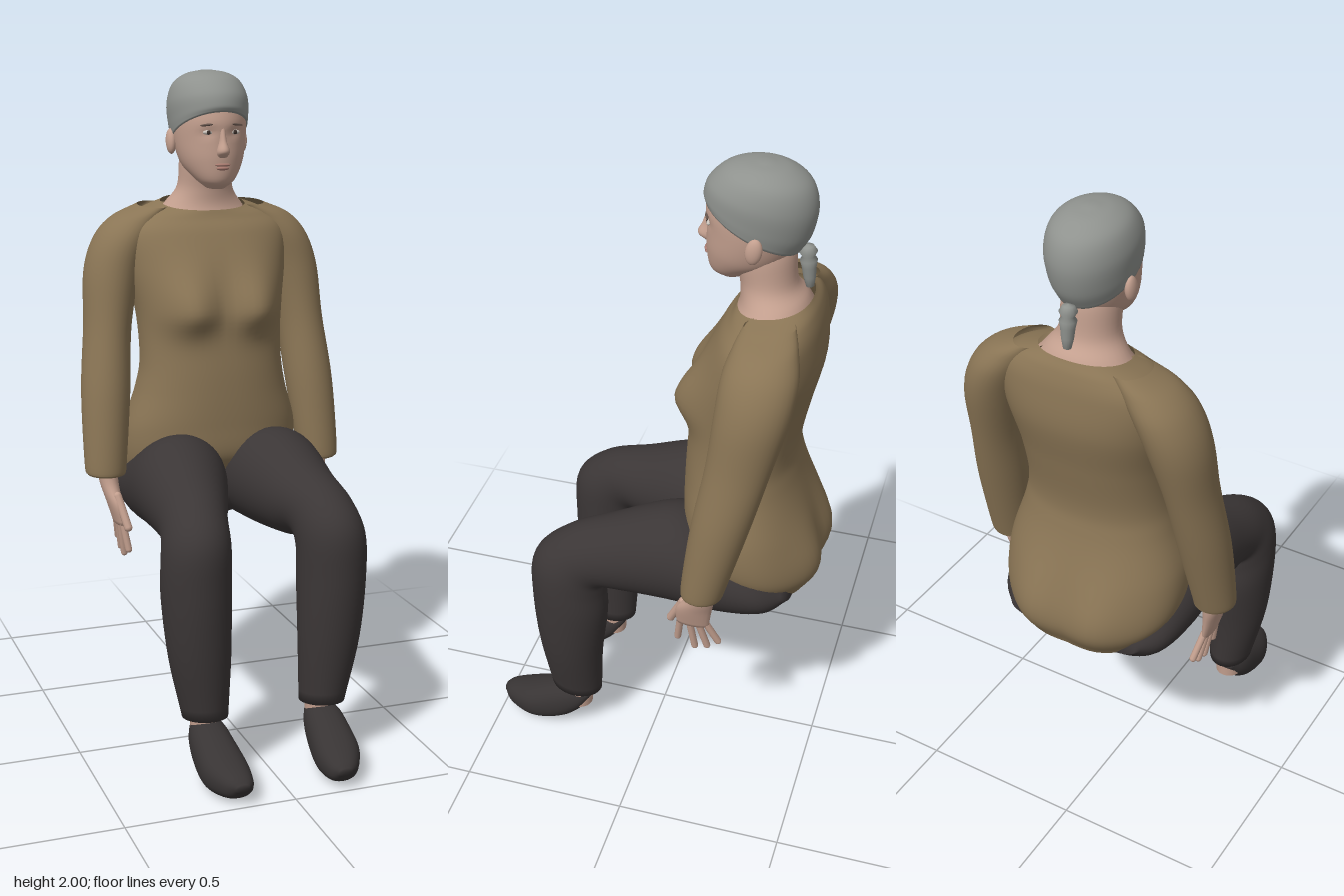
import * as THREE from 'three';

const mat = (name, color, side = THREE.FrontSide) => {
  const m = new THREE.MeshStandardMaterial({ color, side });
  m.name = name;
  return m;
};

// Smooth skin over cross-sections [frontZ, frontY, backZ, backY, centreX, halfWidth].
// Sections run upward (or from toe to heel); bend(p, angle) may push a vertex.
function loft(sections, { side = 1, power = 2, n = 32, steps = 6, caps = true, bend } = {}) {
  const curve = f => new THREE.CatmullRomCurve3(sections.map(f), false, 'catmullrom', 0.5);
  const front = curve(s => new THREE.Vector3(0, s[1], s[0]));
  const back = curve(s => new THREE.Vector3(0, s[3], s[2]));
  const width = curve(s => new THREE.Vector3(s[4] * side, s[5], 0));
  const rings = (sections.length - 1) * steps;
  const pos = [], idx = [], p = new THREE.Vector3();
  const round = v => Math.sign(v) * Math.abs(v) ** (2 / power);
  for (let i = 0; i <= rings; i++) {
    const t = i / rings, f = front.getPoint(t), b = back.getPoint(t), w = width.getPoint(t);
    for (let j = 0; j < n; j++) {
      const a = (j / n) * Math.PI * 2;
      p.lerpVectors(b, f, 0.5 + 0.5 * round(Math.sin(a)));
      p.x = w.x + w.y * round(Math.cos(a));
      if (bend) bend(p, a);
      pos.push(p.x, p.y, p.z);
      if (i < rings) {
        const q = i * n + j, r = i * n + ((j + 1) % n);
        idx.push(q, q + n, r, r, q + n, r + n);
      }
    }
  }
  if (caps) {
    for (const [row, t] of [[0, 0], [rings, 1]]) {
      const c = pos.length / 3;
      p.lerpVectors(back.getPoint(t), front.getPoint(t), 0.5);
      pos.push(width.getPoint(t).x, p.y, p.z);
      for (let j = 0; j < n; j++) {
        const q = row * n + j, r = row * n + ((j + 1) % n);
        idx.push(c, row ? r : q, row ? q : r);
      }
    }
  }
  const g = new THREE.BufferGeometry();
  g.setAttribute('position', new THREE.Float32BufferAttribute(pos, 3));
  g.setIndex(idx);
  g.computeVertexNormals();
  return g;
}

// Soft bump, 1 at the centre
const bump = (dx, dy, rx, ry) => Math.exp(-((dx / rx) ** 2) - (dy / ry) ** 2);

export function createModel() {
  const model = new THREE.Group();
  model.name = 'seatedFigure';
  const skin = mat('skin', 0xc4a08f);
  const shirt = mat('shirt brown', 0x8a7555, THREE.DoubleSide);
  const trousers = mat('trouser charcoal', 0x3b3636, THREE.DoubleSide);
  const shoe = mat('shoe charcoal', 0x383434);
  const hair = mat('hair grey', 0x8f928e, THREE.DoubleSide);
  const lip = mat('lip', 0xa97b70);
  const brow = mat('brow', 0x65544c);
  const eyeWhite = mat('eye white', 0xc9c2ba);
  const iris = mat('iris', 0x3a302b);

  const add = (name, geometry, material) => {
    const m = new THREE.Mesh(geometry, material);
    m.name = name;
    model.add(m);
    return m;
  };
  const ball = (name, material, at, size) => {
    const m = add(name, new THREE.SphereGeometry(1, 20, 14), material);
    m.position.set(...at);
    m.scale.set(...size);
    return m;
  };
  // Rounded rod between two points
  const rod = (name, material, a, b, r) => {
    const from = new THREE.Vector3(...a), to = new THREE.Vector3(...b), d = to.clone().sub(from);
    const m = add(name, new THREE.CapsuleGeometry(r, d.length(), 5, 10), material);
    m.position.copy(from).lerp(to, 0.5);
    m.quaternion.setFromUnitVectors(new THREE.Vector3(0, 1, 0), d.normalize());
  };

  // Sweater body, with bust and seat shaped by soft bumps
  add('sweaterBody', loft([
    [-0.12, 0.80, -0.455, 0.68, 0, 0.235],
    [-0.085, 0.86, -0.48, 0.76, 0, 0.272],
    [-0.08, 0.95, -0.455, 0.89, 0, 0.272],
    [-0.08, 1.05, -0.41, 1.05, 0, 0.235],
    [-0.085, 1.15, -0.40, 1.14, 0, 0.22],
    [-0.10, 1.28, -0.425, 1.28, 0, 0.225],
    [-0.13, 1.42, -0.455, 1.42, 0, 0.25],
    [-0.17, 1.52, -0.45, 1.53, 0, 0.255],
    [-0.20, 1.565, -0.435, 1.59, 0, 0.205],
    [-0.212, 1.588, -0.415, 1.622, 0, 0.13],
  ], {
    power: 2.25, n: 64, steps: 8, caps: false,
    bend: (p, a) => {
      const dx = Math.abs(p.x) - 0.11, s = Math.sin(a);
      if (s > 0) p.z += 0.062 * Math.sqrt(s) * bump(dx, p.y - 1.3, 0.085, p.y < 1.3 ? 0.065 : 0.11);
      else p.z -= 0.03 * Math.sqrt(-s) * bump(dx, p.y - 0.8, 0.09, 0.12);
    },
  }), shirt);

  // Hips between the thighs
  ball('trouserSeat', trousers, [0, 0.735, -0.26], [0.13, 0.1, 0.16]);

  for (const side of [-1, 1]) {
    const tag = side > 0 ? 'left' : 'right';

    // Sleeve from cuff to shoulder
    add(tag + 'Sleeve', loft([
      [-0.155, 0.80, -0.27, 0.805, 0.345, 0.058],
      [-0.15, 0.83, -0.28, 0.84, 0.346, 0.064],
      [-0.172, 1.04, -0.34, 1.06, 0.331, 0.074],
      [-0.205, 1.24, -0.385, 1.24, 0.312, 0.072],
      [-0.22, 1.40, -0.425, 1.40, 0.288, 0.085],
      [-0.228, 1.50, -0.435, 1.50, 0.252, 0.088],
      [-0.245, 1.56, -0.42, 1.565, 0.205, 0.08],
      [-0.26, 1.595, -0.40, 1.605, 0.15, 0.05],
    ], { side, caps: false }), shirt);

    // Hand with spread fingers
    add(tag + 'Hand', loft([
      [-0.128, 0.655, -0.225, 0.655, 0.318, 0.014],
      [-0.13, 0.72, -0.235, 0.72, 0.33, 0.022],
      [-0.165, 0.78, -0.245, 0.78, 0.34, 0.028],
      [-0.18, 0.86, -0.25, 0.86, 0.345, 0.032],
    ], { side, n: 20 }), skin);
    [[-0.14, -0.128, 0.58], [-0.165, -0.18, 0.555], [-0.19, -0.217, 0.565], [-0.213, -0.25, 0.59]]
      .forEach(([z0, z1, y]) =>
        rod(tag + 'Finger', skin, [side * 0.318, 0.67, z0], [side * 0.302, y, z1], 0.0105));
    rod(tag + 'Thumb', skin, [side * 0.328, 0.745, -0.15], [side * 0.308, 0.655, -0.108], 0.0125);

    // Trouser leg from cuff over the knee to the hip
    add(tag + 'TrouserLeg', loft([
      [0.32, 0.185, 0.16, 0.165, 0.183, 0.066],
      [0.345, 0.39, 0.148, 0.34, 0.2, 0.09],
      [0.356, 0.58, 0.125, 0.52, 0.208, 0.1],
      [0.345, 0.725, 0.128, 0.615, 0.206, 0.1],
      [0.255, 0.815, 0.12, 0.645, 0.195, 0.099],
      [0.12, 0.87, 0.06, 0.635, 0.174, 0.115],
      [-0.07, 0.935, -0.08, 0.628, 0.153, 0.147],
      [-0.20, 0.89, -0.24, 0.622, 0.147, 0.15],
      [-0.33, 0.83, -0.37, 0.64, 0.135, 0.14],
      [-0.42, 0.75, -0.435, 0.69, 0.12, 0.09],
    ], { side, n: 40 }), trousers);

    // Ankle and pointed soft shoe
    const ankle = add(tag + 'Ankle', new THREE.CylinderGeometry(0.05, 0.042, 0.13, 20), skin);
    ankle.position.set(side * 0.18, 0.16, 0.235);
    add(tag + 'Shoe', loft([
      [0.5, 0.065, 0.495, 0.045, 0.155, 0.018],
      [0.475, 0.085, 0.46, 0.012, 0.16, 0.045],
      [0.41, 0.115, 0.38, 0.001, 0.172, 0.067],
      [0.33, 0.15, 0.29, 0.024, 0.178, 0.064],
      [0.27, 0.168, 0.225, 0.075, 0.18, 0.055],
      [0.20, 0.165, 0.19, 0.135, 0.18, 0.032],
    ], { side, power: 2.3 }), shoe);

    // Ear, eye and brow
    ball(tag + 'Ear', skin, [side * 0.112, 1.792, -0.27], [0.015, 0.038, 0.023]).rotation.x = -0.15;
    ball(tag + 'Eye', eyeWhite, [side * 0.041, 1.823, -0.133], [0.016, 0.007, 0.008]);
    ball(tag + 'Iris', iris, [side * 0.041, 1.823, -0.1275], [0.0065, 0.0065, 0.004]);
    const b = ball(tag + 'Brow', brow, [side * 0.045, 1.845, -0.127], [0.022, 0.0035, 0.005]);
    b.rotation.set(0, side * 0.25, side * -0.1);
  }

  // Neck spreading into the collar
  add('neck', loft([
    [-0.19, 1.54, -0.42, 1.57, 0, 0.16],
    [-0.214, 1.595, -0.40, 1.615, 0, 0.118],
    [-0.213, 1.65, -0.37, 1.66, 0, 0.085],
    [-0.20, 1.72, -0.36, 1.75, 0, 0.08],
    [-0.22, 1.80, -0.34, 1.80, 0, 0.07],
  ]), skin);

  // Head with shallow eye sockets
  add('head', loft([
    [-0.16, 1.655, -0.23, 1.665, 0, 0.03],
    [-0.128, 1.68, -0.27, 1.69, 0, 0.06],
    [-0.118, 1.74, -0.33, 1.72, 0, 0.09],
    [-0.118, 1.80, -0.375, 1.79, 0, 0.106],
    [-0.115, 1.86, -0.40, 1.87, 0, 0.11],
    [-0.14, 1.93, -0.39, 1.93, 0, 0.1],
    [-0.19, 1.97, -0.35, 1.97, 0, 0.06],
    [-0.25, 1.985, -0.28, 1.985, 0, 0.02],
  ], {
    n: 48,
    bend: (p, a) => {
      if (Math.sin(a) > 0) p.z -= 0.007 * bump(Math.abs(p.x) - 0.04, p.y - 1.822, 0.022, 0.014);
    },
  }), skin);
  add('nose', loft([
    [-0.113, 1.75, -0.14, 1.752, 0, 0.015],
    [-0.091, 1.768, -0.14, 1.77, 0, 0.019],
    [-0.104, 1.80, -0.14, 1.80, 0, 0.011],
    [-0.118, 1.845, -0.14, 1.845, 0, 0.009],
  ], { n: 20 }), skin);
  ball('upperLip', lip, [0, 1.729, -0.12], [0.024, 0.005, 0.008]);
  ball('lowerLip', lip, [0, 1.719, -0.121], [0.02, 0.006, 0.008]);

  // Pulled-back hair, slanting from the forehead to the nape
  add('hairCap', loft([
    [-0.112, 1.885, -0.372, 1.755, 0, 0.111],
    [-0.108, 1.902, -0.40, 1.805, 0, 0.116],
    [-0.12, 1.938, -0.413, 1.88, 0, 0.118],
    [-0.158, 1.976, -0.395, 1.945, 0, 0.1],
    [-0.205, 1.994, -0.345, 1.984, 0, 0.062],
    [-0.26, 2.0, -0.285, 1.999, 0, 0.014],
  ], { n: 48 }), hair);

  // Short ponytail
  const tail = [[0, -0.06], [0.011, -0.054], [0.017, -0.025], [0.02, 0.005], [0.024, 0.025],
    [0.017, 0.036], [0.025, 0.05], [0.016, 0.066], [0, 0.07]];
  const ponytail = add('ponytail',
    new THREE.LatheGeometry(tail.map(([r, y]) => new THREE.Vector2(r, y)), 16), hair);
  ponytail.position.set(0, 1.705, -0.397);
  ponytail.rotation.x = 0.1;

  return model;
}
